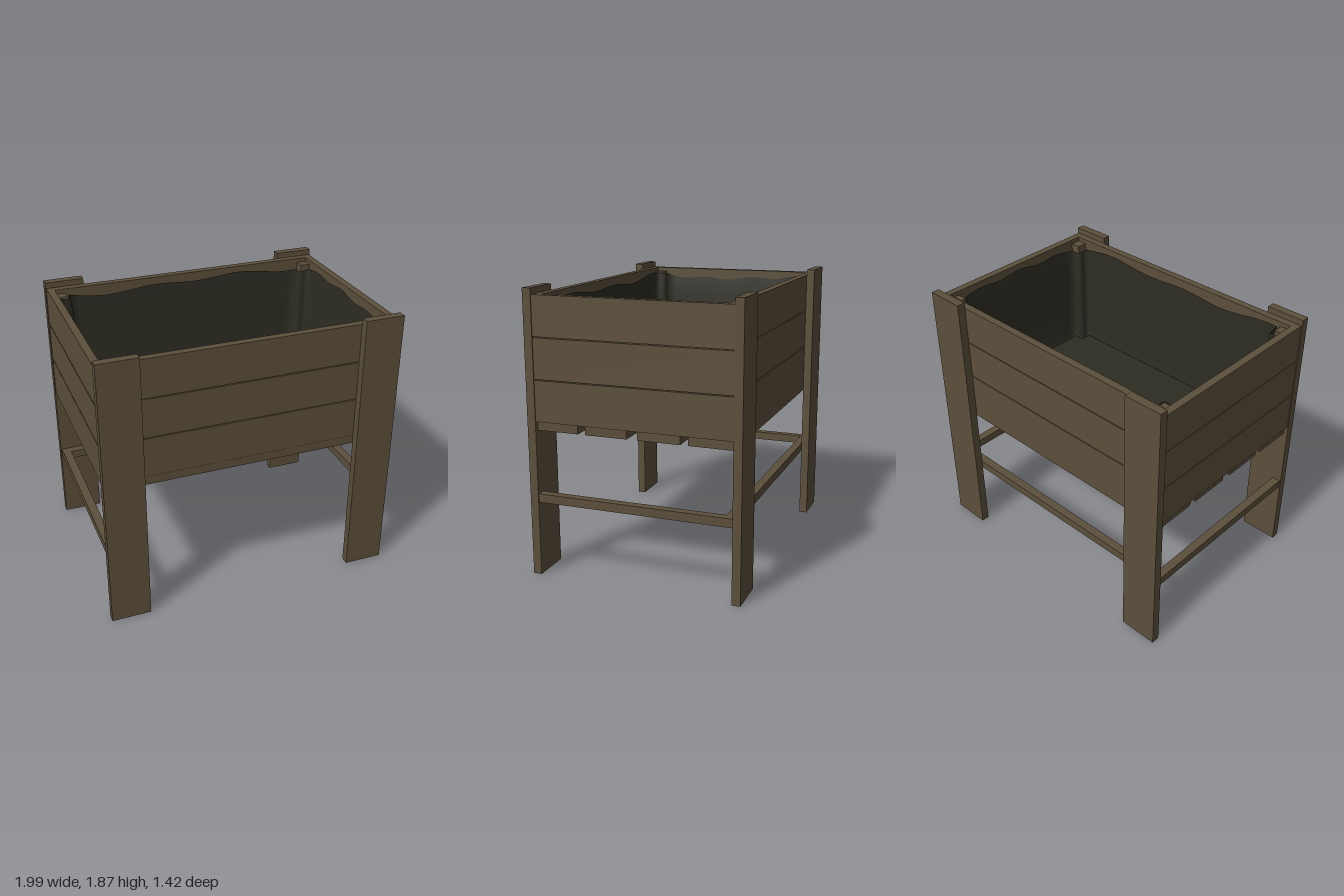
import * as THREE from 'three';

const wood = new THREE.MeshStandardMaterial({ color: 0x5c4f3b });
wood.name = 'weathered wood';
const lining = new THREE.MeshStandardMaterial({ color: 0x2d2c23, side: THREE.DoubleSide });
lining.name = 'dark lining';

// Box given by its minimum and maximum corners
function board(group, name, [x0, y0, z0], [x1, y1, z1]) {
  const mesh = new THREE.Mesh(new THREE.BoxGeometry(x1 - x0, y1 - y0, z1 - z0), wood);
  mesh.position.set((x0 + x1) / 2, (y0 + y1) / 2, (z0 + z1) / 2);
  mesh.name = name;
  group.add(mesh);
  return mesh;
}

// Fabric lining: a loop notched round the corner posts, lofted upward to a wavy rim
function makeLiner() {
  const X = 0.932, Z = 0.592, n = 0.075;
  const corners = [];
  for (const [sx, sz] of [[1, 1], [-1, 1], [-1, -1], [1, -1]]) {
    const notch = [[X, Z - n], [X - n, Z - n], [X - n, Z]].map(([x, z]) => [x * sx, z * sz]);
    corners.push(...(sx * sz > 0 ? notch : notch.reverse()));
  }
  const loop = [];
  corners.forEach(([x, z], i) => {
    const [u, v] = corners[(i + 1) % corners.length];
    const steps = Math.max(2, Math.round(Math.hypot(u - x, v - z) / 0.06));
    for (let s = 0; s < steps; s++) loop.push([x + (u - x) * s / steps, z + (v - z) * s / steps]);
  });

  const rows = [[1.05, 0.95], [1.12, 0.965], [1.4, 0.98], [1.65, 0.985], [1.775, 0.995]];
  const positions = [], index = [], count = loop.length;
  rows.forEach(([y, scale], r) => loop.forEach(([x, z]) => {
    const wave = r === rows.length - 1 ? 0.014 * Math.sin(9 * x + 4 * z) + 0.01 * Math.sin(17 * z - 5 * x) : 0;
    positions.push(x * scale, y + wave, z * scale);
  }));
  for (let r = 0; r < rows.length - 1; r++) {
    for (let i = 0; i < count; i++) {
      const j = (i + 1) % count, a = r * count + i, b = r * count + j;
      index.push(a, b, b + count, a, b + count, a + count);
    }
  }
  const sides = new THREE.BufferGeometry();
  sides.setAttribute('position', new THREE.Float32BufferAttribute(positions, 3));
  sides.setIndex(index);
  sides.computeVertexNormals();

  const s = rows[0][1];
  const outline = new THREE.Shape(loop.map(([x, z]) => new THREE.Vector2(x * s, -z * s)));
  const floor = new THREE.ShapeGeometry(outline).rotateX(-Math.PI / 2).translate(0, rows[0][0], 0);

  const group = new THREE.Group();
  group.name = 'liner';
  for (const [name, geometry] of [['linerSides', sides], ['linerFloor', floor]]) {
    const mesh = new THREE.Mesh(geometry, lining);
    mesh.name = name;
    group.add(mesh);
  }
  return group;
}

export function createModel() {
  const model = new THREE.Group();
  model.name = 'raisedPlanter';

  // Flat plank legs and the inner corner posts
  for (const sx of [-1, 1]) for (const sz of [-1, 1]) {
    const leg = board(model, 'leg', [-0.133, 0, -0.028], [0.133, 1.87, 0.028]);
    leg.position.set(sx * 0.863, 0.935, sz * 0.68);
    const post = board(model, 'cornerPost', [-0.035, 1.03, -0.035], [0.035, 1.8, 0.035]);
    post.position.x = sx * 0.907;
    post.position.z = sz * 0.567;
  }

  // Three courses of boards round the box
  const courses = [[1.03, 1.297], [1.303, 1.565], [1.571, 1.83]];
  for (const [y0, y1] of courses) {
    for (const s of [-1, 1]) {
      const long = board(model, s > 0 ? 'frontBoard' : 'backBoard', [-0.99, y0, -0.025], [0.99, y1, 0.025]);
      long.position.z = s * 0.627;
      const short = board(model, 'sideBoard', [-0.025, y0, -0.602], [0.025, y1, 0.602]);
      short.position.x = s * 0.965;
    }
  }

  // Four slats under the box
  for (const [z0, z1] of [[0.37, 0.65], [0.04, 0.32], [-0.31, -0.03], [-0.65, -0.36]]) {
    board(model, 'bottomSlat', [-0.97, 0.97, z0], [0.97, 1.028, z1]);
  }

  // Rails between the legs: both sides and the back
  board(model, 'leftRail', [0.93, 0.495, -0.652], [0.988, 0.552, 0.652]);
  board(model, 'rightRail', [-0.988, 0.495, -0.652], [-0.93, 0.552, 0.652]);
  board(model, 'backRail', [-0.93, 0.495, -0.652], [0.93, 0.552, -0.595]);

  model.add(makeLiner());
  return model;
}
